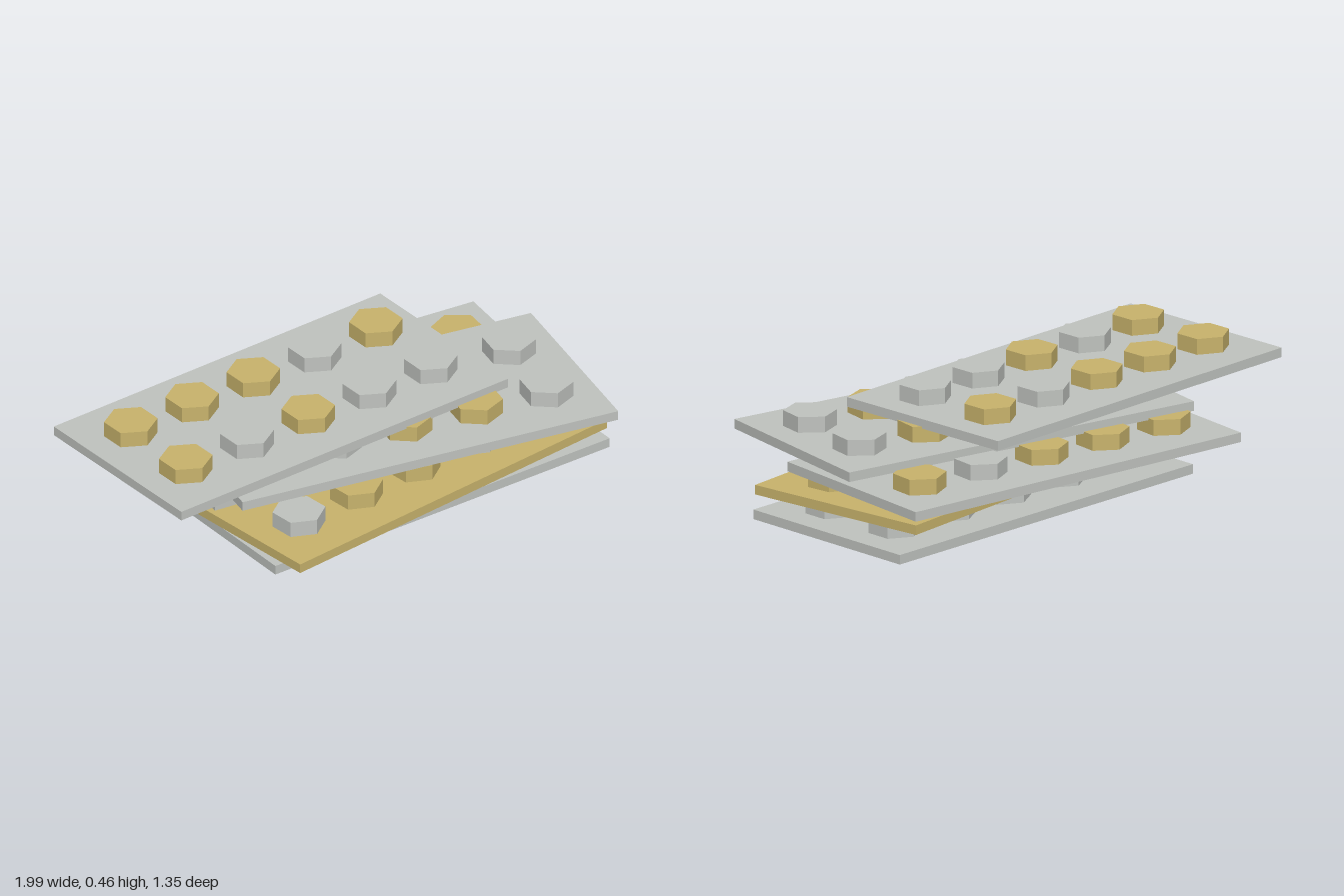
import * as THREE from 'three';

const silver = new THREE.MeshStandardMaterial({ color: 0xc0c3bf });
silver.name = 'silver';
const gold = new THREE.MeshStandardMaterial({ color: 0xc8b36c });
gold.name = 'gold';

const LENGTH = 1.53, WIDTH = 0.766, THICK = 0.037;
const STEP_Y = 0.0907;             // height between plates
const STUD_H = 0.061, STUD_R = 0.1;
const GAP_X = 0.287, ROW_Z = 0.165;

// Plates from bottom to top; stud rows list colours from -x to +x (S silver, G gold)
const layers = [
  { mat: silver, x: 0.195, z: 0.017, turn: -0.083, back: 'SSSSS', front: 'GGGSS' },
  { mat: gold, x: 0.137, z: 0.1, turn: 0.021, back: 'SGSGS', front: 'SGGSG' },
  { mat: silver, x: 0.16, z: -0.152, turn: -0.2, back: 'GGGSG', front: 'GSGSS' },
  { mat: silver, x: 0.155, z: 0.094, turn: -0.28, back: 'GGGGS', front: 'SSGGS' },
  { mat: silver, x: -0.215, z: -0.077, turn: -0.052, back: 'GGGSG', front: 'GSGSS' },
];

export function createModel() {
  const model = new THREE.Group();
  model.name = 'plateStack';
  const plateGeo = new THREE.BoxGeometry(LENGTH, THICK, WIDTH);
  const studGeo = new THREE.CylinderGeometry(STUD_R, STUD_R, STUD_H, 6).toNonIndexed();
  studGeo.computeVertexNormals(); // crisp hexagon sides

  layers.forEach((layer, level) => {
    const group = new THREE.Group();
    group.name = `layer${level + 1}`;
    group.position.set(layer.x, level * STEP_Y, layer.z);
    group.rotation.y = layer.turn;

    const plate = new THREE.Mesh(plateGeo, layer.mat);
    plate.name = 'plate';
    plate.position.y = THICK / 2;
    group.add(plate);

    // Two rows of five hexagonal studs
    for (const [row, z] of [[layer.back, -ROW_Z], [layer.front, ROW_Z]]) {
      [...row].forEach((c, i) => {
        const stud = new THREE.Mesh(studGeo, c === 'G' ? gold : silver);
        stud.name = 'hexStud';
        stud.position.set((i - 2) * GAP_X, THICK + STUD_H / 2, z);
        group.add(stud);
      });
    }
    model.add(group);
  });
  return model;
}
